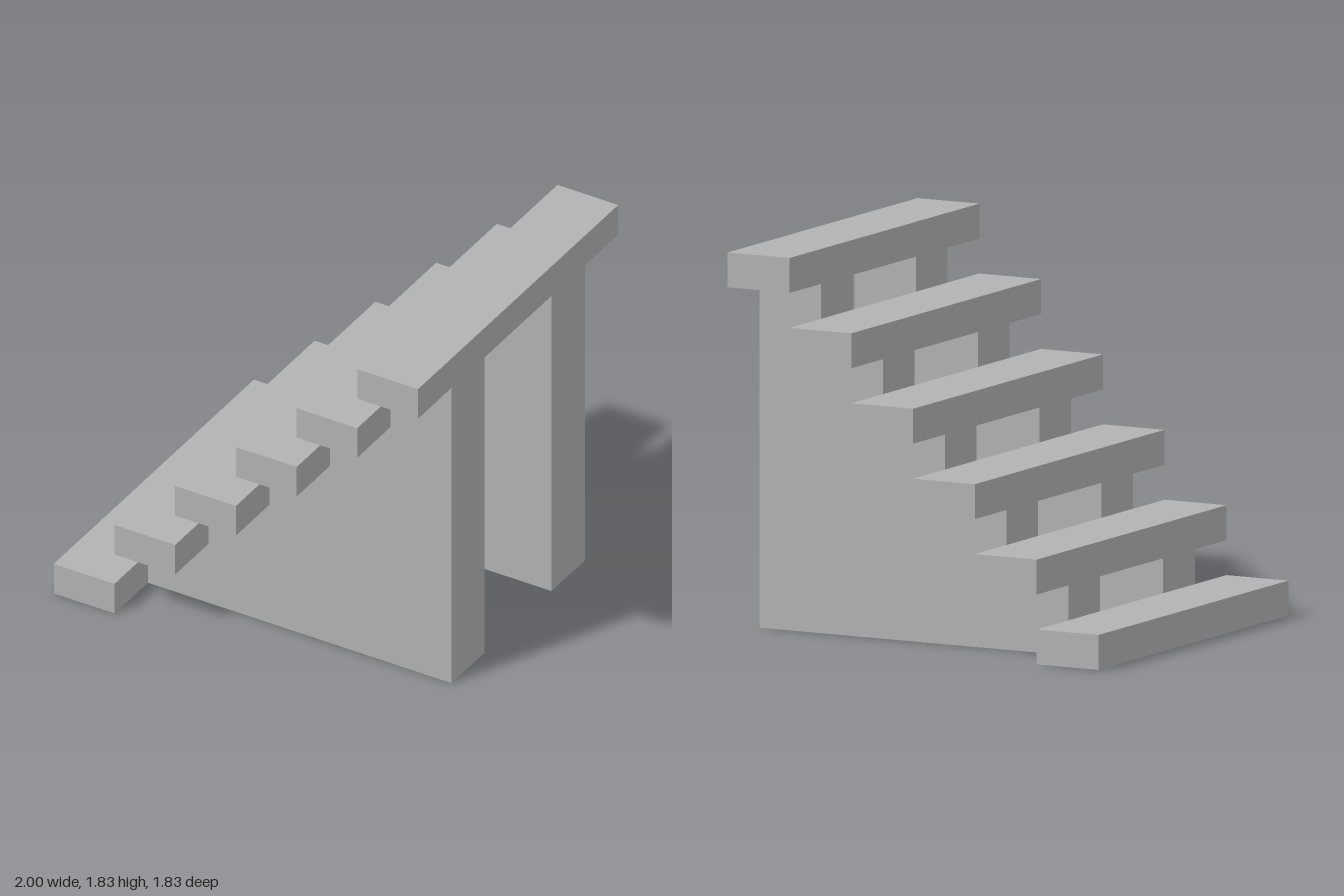
import * as THREE from 'three';

const STEPS = 6;
const RUN = 1 / 3;        // tread depth and rise per step
const THICK = 1 / 6;      // tread thickness
const WIDTH = 11 / 6;     // tread length along z
const WALL = 0.305;       // support wall thickness
const WALL_Z = 0.458;     // support wall centre

export function createModel() {
  const group = new THREE.Group();
  group.name = 'staircase';
  const grey = new THREE.MeshStandardMaterial({ color: 0xb2b2b2 });
  grey.name = 'plain grey';

  // Six overhanging treads
  const treadGeometry = new THREE.BoxGeometry(RUN, THICK, WIDTH);
  for (let i = 0; i < STEPS; i++) {
    const tread = new THREE.Mesh(treadGeometry, grey);
    tread.name = `tread${i + 1}`;
    tread.position.set(-1 + (i + 0.5) * RUN, i * RUN + THICK / 2, 0);
    group.add(tread);
  }

  // Stepped profile that carries the underside of each tread above the first
  const profile = new THREE.Shape();
  profile.moveTo(1, 0);
  for (let i = STEPS - 1; i > 0; i--) {
    profile.lineTo(-1 + (i + 1) * RUN, i * RUN);
    profile.lineTo(-1 + i * RUN, i * RUN);
  }
  profile.lineTo(-1 + RUN, 0);
  profile.closePath();

  // Two matching support walls
  const wallGeometry = new THREE.ExtrudeGeometry(profile, { depth: WALL, bevelEnabled: false });
  wallGeometry.translate(0, 0, -WALL / 2);
  for (const [name, side] of [['frontSupport', 1], ['backSupport', -1]]) {
    const wall = new THREE.Mesh(wallGeometry, grey);
    wall.name = name;
    wall.position.z = side * WALL_Z;
    group.add(wall);
  }
  return group;
}
